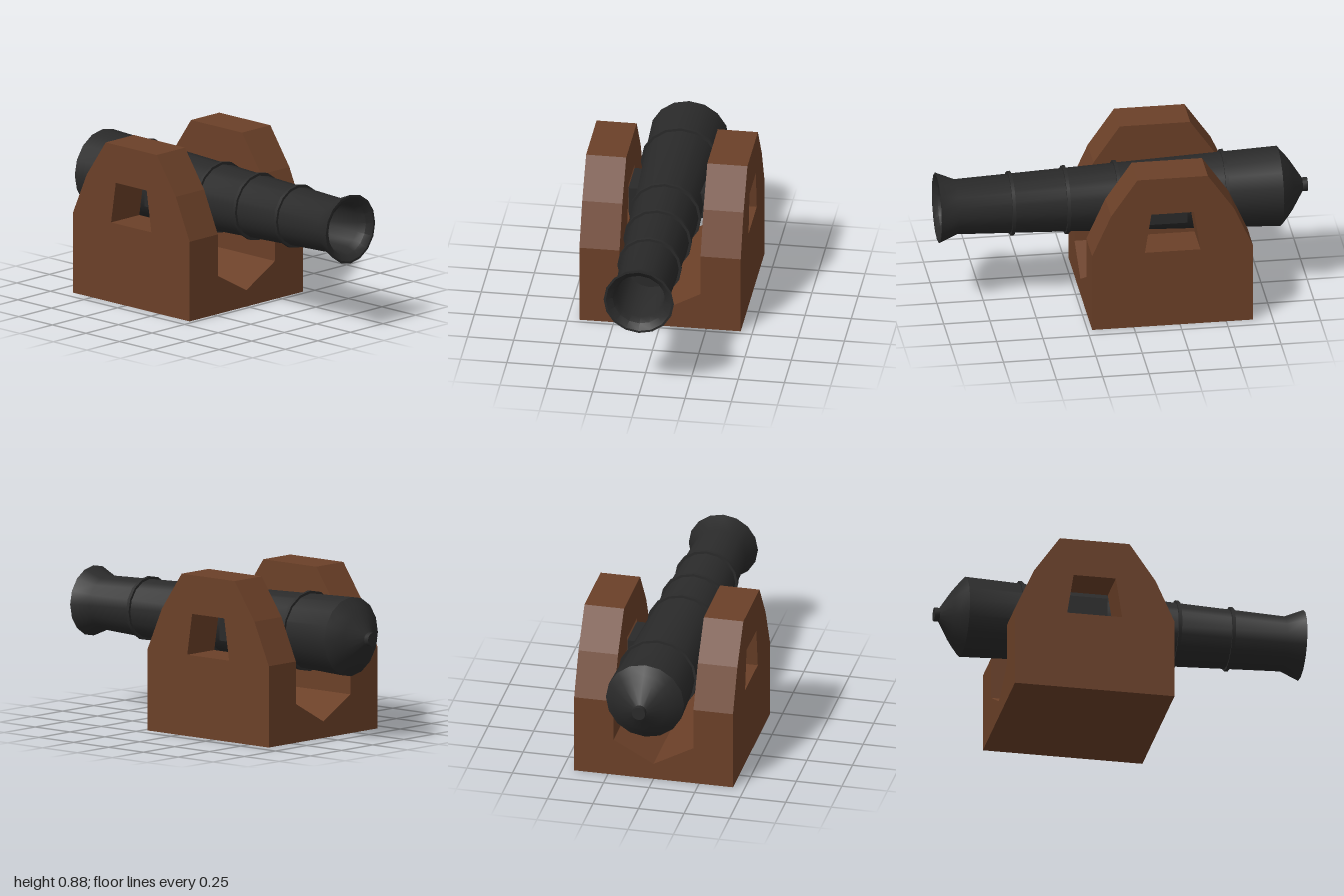
import * as THREE from 'three';
import { toCreasedNormals } from 'three/addons/utils/BufferGeometryUtils.js';

const AXIS_Y = 0.57;
const wood = new THREE.MeshStandardMaterial({ color: 0x6b4028 });
const iron = new THREE.MeshStandardMaterial({ color: 0x2a2a2a });

const vectors = (points) => points.map(([a, b]) => new THREE.Vector2(a, b));

// Surface of revolution around the z axis, from [radius, z] points
function turned(points) {
  const geometry = new THREE.LatheGeometry(vectors(points), 16);
  geometry.rotateX(Math.PI / 2);
  return toCreasedNormals(geometry, 0.6);
}

function add(parent, name, geometry, material, x = 0, y = 0, z = 0) {
  const mesh = new THREE.Mesh(geometry, material);
  mesh.name = name;
  mesh.position.set(x, y, z);
  parent.add(mesh);
  return mesh;
}

// Radius of the tapered tube at z
const tubeRadius = (z) => THREE.MathUtils.mapLinear(z, -0.845, 0.9, 0.215, 0.148);

function createCarriage() {
  const carriage = new THREE.Group();
  carriage.name = 'carriage';

  // Side cheeks, outlined in z and y, with a tapered window
  const outline = new THREE.Shape(vectors([
    [-0.645, 0], [0.225, 0], [0.225, 0.44], [0.122, 0.67],
    [-0.02, 0.875], [-0.40, 0.875], [-0.542, 0.67], [-0.645, 0.44],
  ]));
  outline.holes.push(new THREE.Path(vectors([
    [-0.36, 0.44], [-0.325, 0.665], [-0.095, 0.665], [-0.06, 0.44],
  ])));
  const cheek = new THREE.ExtrudeGeometry(outline, { depth: 0.217, bevelEnabled: false });
  cheek.rotateY(-Math.PI / 2);
  add(carriage, 'leftCheek', cheek, wood, 0.436);
  add(carriage, 'rightCheek', cheek, wood, -0.219);

  // Bed with a V-shaped top
  const bedShape = new THREE.Shape(vectors([
    [-0.219, 0], [0.219, 0], [0.219, 0.21], [0, 0.09], [-0.219, 0.21],
  ]));
  const bed = new THREE.ExtrudeGeometry(bedShape, { depth: 0.87, bevelEnabled: false });
  add(carriage, 'bed', bed, wood, 0, 0, -0.645);
  return carriage;
}

function createBarrel() {
  const barrel = new THREE.Group();
  barrel.name = 'barrel';
  barrel.position.y = AXIS_Y;

  // Breech knob, tapered tube, flared muzzle and bore
  add(barrel, 'tube', turned([
    [0, -1], [0.037, -1], [0.037, -0.972], [0.135, -0.91], [0.172, -0.882],
    [0.215, -0.845], [0.148, 0.9], [0.19, 1],
    [0.178, 1], [0.145, 0.975], [0.13, 0.93], [0.13, 0.6], [0, 0.6],
  ]), iron);

  // Reinforcing bands
  for (const z of [-0.545, 0.035, 0.31, 0.605]) {
    const inner = tubeRadius(z) - 0.01;
    const outer = tubeRadius(z) + 0.014;
    add(barrel, 'band', turned([
      [inner, -0.009], [outer, -0.009], [outer, 0.009], [inner, 0.009],
    ]), iron, 0, 0, z);
  }

  // Trunnions on both sides
  add(barrel, 'trunnions', new THREE.BoxGeometry(0.438, 0.15, 0.225), iron, 0, 0, -0.21);
  return barrel;
}

export function createModel() {
  const model = new THREE.Group();
  model.name = 'cannon';
  model.add(createCarriage(), createBarrel());
  return model;
}
